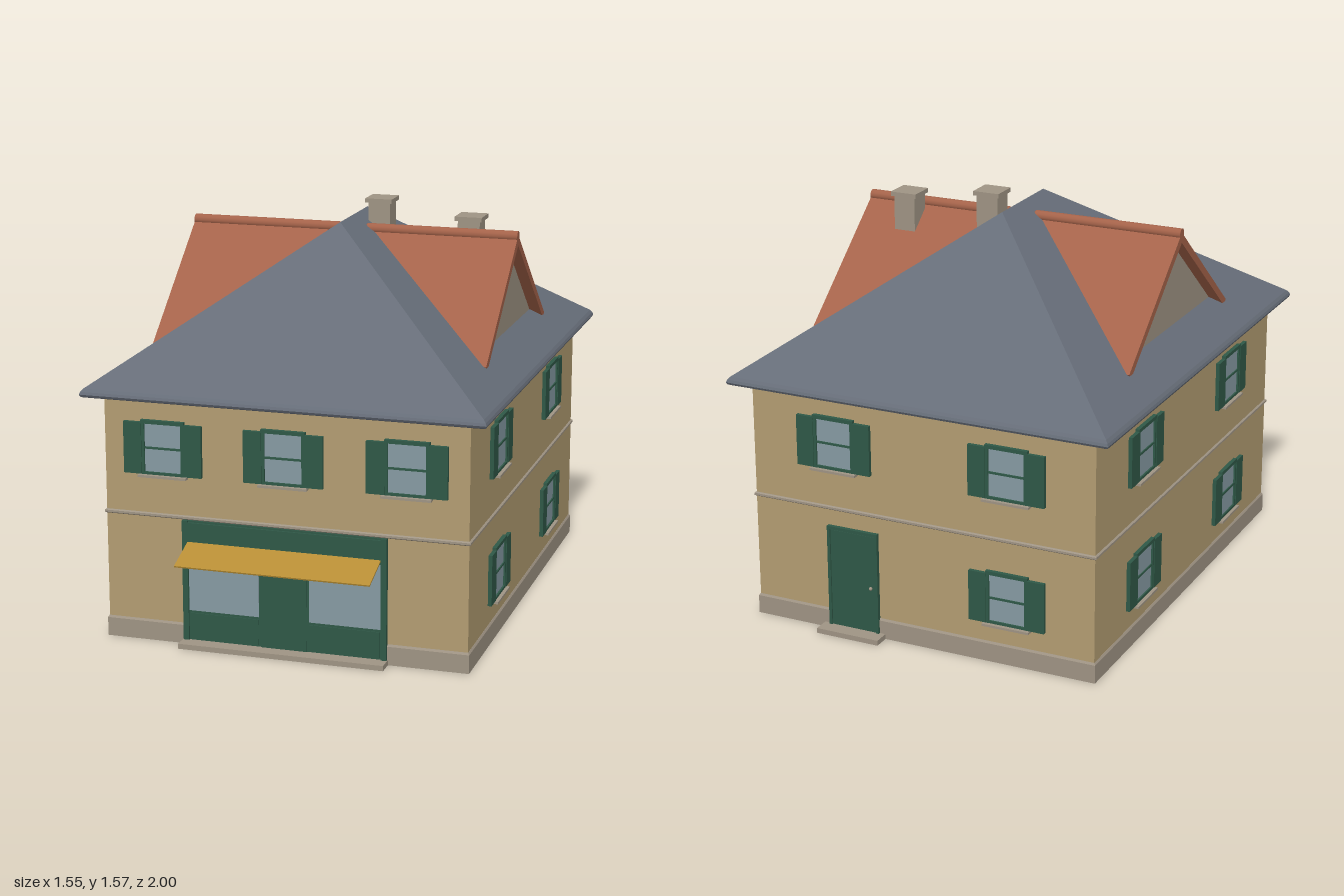
import * as THREE from 'three';

const mat = (name, color) => {
  const m = new THREE.MeshStandardMaterial({ color });
  m.name = name;
  return m;
};

export function createModel() {
  const plaster = mat('tan plaster', 0xb39d72);
  const stone = mat('grey stone', 0x9f9484);
  const slate = mat('slate roof', 0x666d78);
  const tile = mat('terracotta tile', 0xa5634a);
  const green = mat('green paint', 0x2f5847);
  const glass = mat('window glass', 0x869aa3);
  const gold = mat('awning cloth', 0xb88e35);
  gold.side = THREE.DoubleSide;

  const house = new THREE.Group();
  house.name = 'house';
  const CZ = -0.045; // depth centre of the walls and roof

  const add = (parent, name, geo, material, x = 0, y = 0, z = 0) => {
    const m = new THREE.Mesh(geo, material);
    m.name = name;
    m.position.set(x, y, z);
    parent.add(m);
    return m;
  };
  const box = (parent, name, material, w, h, d, x, y, z) =>
    add(parent, name, new THREE.BoxGeometry(w, h, d), material, x, y, z);

  // Closed loft through rectangles [halfX, halfZ, y], flat shaded
  const loft = (rings) => {
    const p = [];
    const corner = ([hx, hz, y], i) => [[-hx, y, hz], [hx, y, hz], [hx, y, -hz], [-hx, y, -hz]][i % 4];
    const quad = (a, b, c, d) => p.push(...a, ...b, ...c, ...a, ...c, ...d);
    for (let r = 0; r < rings.length - 1; r++) {
      for (let i = 0; i < 4; i++) {
        quad(corner(rings[r], i), corner(rings[r], i + 1), corner(rings[r + 1], i + 1), corner(rings[r + 1], i));
      }
    }
    const b = rings[0], t = rings[rings.length - 1];
    quad(corner(b, 3), corner(b, 2), corner(b, 1), corner(b, 0));
    if (t[0] > 0) quad(corner(t, 0), corner(t, 1), corner(t, 2), corner(t, 3));
    const g = new THREE.BufferGeometry();
    g.setAttribute('position', new THREE.Float32BufferAttribute(p, 3));
    g.computeVertexNormals();
    return g;
  };

  // Walls, plinth and string course
  box(house, 'walls', plaster, 1.404, 0.945, 1.77, 0, 0.4775, CZ);
  add(house, 'plinth', loft([[0.708, 0.891, 0], [0.708, 0.891, 0.072], [0.703, 0.886, 0.08]]), stone, 0, 0, CZ);
  add(house, 'stringCourse', loft([[0.704, 0.887, 0.488], [0.709, 0.892, 0.492], [0.709, 0.892, 0.5], [0.704, 0.887, 0.504]]), stone, 0, 0, CZ);

  // Hipped roof with a rounded eave
  add(house, 'mainRoof', loft([
    [0.762, 0.939, 0.943], [0.771, 0.948, 0.947], [0.775, 0.953, 0.956],
    [0.771, 0.949, 0.966], [0.762, 0.94, 0.977], [0, 0.185, 1.51],
  ]), slate, 0, 0, CZ);

  // Gabled dormers on both sides; the shapes are drawn across z and pushed out along x
  for (const side of [1, -1]) {
    const dormer = new THREE.Group();
    dormer.name = side > 0 ? 'leftDormer' : 'rightDormer';
    dormer.position.z = CZ;
    dormer.rotation.y = side * Math.PI / 2;
    house.add(dormer);

    const chevron = new THREE.Shape([
      [-0.495, 1.055], [-0.475, 1.035], [0, 1.422], [0.475, 1.035], [0.495, 1.055], [0, 1.462],
    ].map(([x, y]) => new THREE.Vector2(x, y)));
    add(dormer, 'dormerRoof', new THREE.ExtrudeGeometry(chevron, { depth: 0.59, bevelEnabled: false }), tile, 0, 0, 0.07);

    const gable = new THREE.Shape([[-0.46, 1.06], [0.46, 1.06], [0, 1.43]].map(([x, y]) => new THREE.Vector2(x, y)));
    add(dormer, 'gableWall', new THREE.ExtrudeGeometry(gable, { depth: 0.1, bevelEnabled: false }), stone, 0, 0, 0.515);

    const ridge = add(dormer, 'ridgeTile', new THREE.CylinderGeometry(0.021, 0.021, 0.6, 12), tile, 0, 1.457, 0.36);
    ridge.rotation.x = Math.PI / 2;
    const ridgeEnd = add(dormer, 'ridgeEnd', new THREE.SphereGeometry(0.021, 12, 8), tile, 0, 1.457, 0.06);
    ridgeEnd.scale.z = 0.6;
  }

  // Chimneys
  for (const [x, z, top, foot] of [[0.087, -0.14, 1.567, 1.35], [0.455, -0.12, 1.517, 1.1]]) {
    box(house, 'chimneyStack', stone, 0.088, top - foot - 0.01, 0.088, x, (top + foot - 0.01) / 2, z);
    box(house, 'chimneyCap', stone, 0.108, 0.017, 0.108, x, top - 0.0085, z);
  }

  // Shuttered window, facing +z before it is turned
  const addWindow = (x, y, z, turn) => {
    const w = new THREE.Group();
    w.name = 'window';
    w.position.set(x, y, z);
    w.rotation.y = turn;
    house.add(w);
    box(w, 'pane', glass, 0.15, 0.19, 0.008, 0, 0, 0.003);
    for (const s of [-1, 1]) {
      box(w, 'frameSide', green, 0.011, 0.206, 0.014, s * 0.077, 0, 0.007);
      box(w, 'shutter', green, 0.07, 0.198, 0.015, s * 0.118, -0.002, 0.009);
    }
    box(w, 'frameTop', green, 0.17, 0.014, 0.016, 0, 0.1, 0.008);
    box(w, 'frameBottom', green, 0.165, 0.01, 0.014, 0, -0.097, 0.007);
    box(w, 'transom', green, 0.146, 0.008, 0.012, 0, 0, 0.006);
    box(w, 'sill', stone, 0.19, 0.009, 0.028, 0, -0.107, 0.014);
  };
  const UP = 0.757, LOW = 0.262, FRONT = 0.84, BACK = -0.93;
  for (const x of [-0.47, 0, 0.47]) addWindow(x, UP, FRONT, 0);
  for (const s of [1, -1]) {
    for (const z of [0.397, -0.487]) {
      for (const y of [UP, LOW]) addWindow(s * 0.702, y, z, s * Math.PI / 2);
    }
  }
  for (const [x, y] of [[0.355, UP], [-0.355, UP], [-0.355, LOW]]) addWindow(x, y, BACK, Math.PI);

  // Shop front
  const shop = new THREE.Group();
  shop.name = 'shopFront';
  shop.position.z = FRONT;
  house.add(shop);
  box(shop, 'shopPanel', green, 0.79, 0.468, 0.02, 0, 0.254, 0);
  for (const s of [-1, 1]) {
    box(shop, 'shopPost', green, 0.022, 0.468, 0.018, s * 0.386, 0.254, 0.009);
    box(shop, 'shopPane', glass, 0.275, 0.25, 0.005, s * 0.2355, 0.262, 0.0105);
    box(shop, 'stallRiser', green, 0.27, 0.1, 0.005, s * 0.2355, 0.077, 0.0115);
  }
  box(shop, 'shopDoor', green, 0.176, 0.36, 0.005, 0, 0.2, 0.0115);
  box(shop, 'fascia', green, 0.75, 0.075, 0.012, 0, 0.444, 0.012);
  box(shop, 'shopStep', stone, 0.8, 0.02, 0.07, 0, 0.01, 0.035);
  const awning = box(shop, 'awning', gold, 0.75, 0.006, 0.157, 0, 0.381, 0.086);
  awning.rotation.x = 0.33;

  // Back door
  const door = new THREE.Group();
  door.name = 'backDoor';
  door.position.set(0.285, 0, BACK);
  door.rotation.y = Math.PI;
  house.add(door);
  box(door, 'doorLeaf', green, 0.19, 0.39, 0.02, 0, 0.215, 0);
  for (const s of [-1, 1]) box(door, 'doorJamb', green, 0.012, 0.4, 0.016, s * 0.1, 0.22, 0.008);
  box(door, 'doorHead', green, 0.212, 0.012, 0.016, 0, 0.42, 0.008);
  add(door, 'doorKnob', new THREE.SphereGeometry(0.007, 10, 8), stone, 0.075, 0.2, 0.014);
  box(door, 'doorStep', stone, 0.26, 0.02, 0.07, 0, 0.01, 0.035);

  return house;
}
